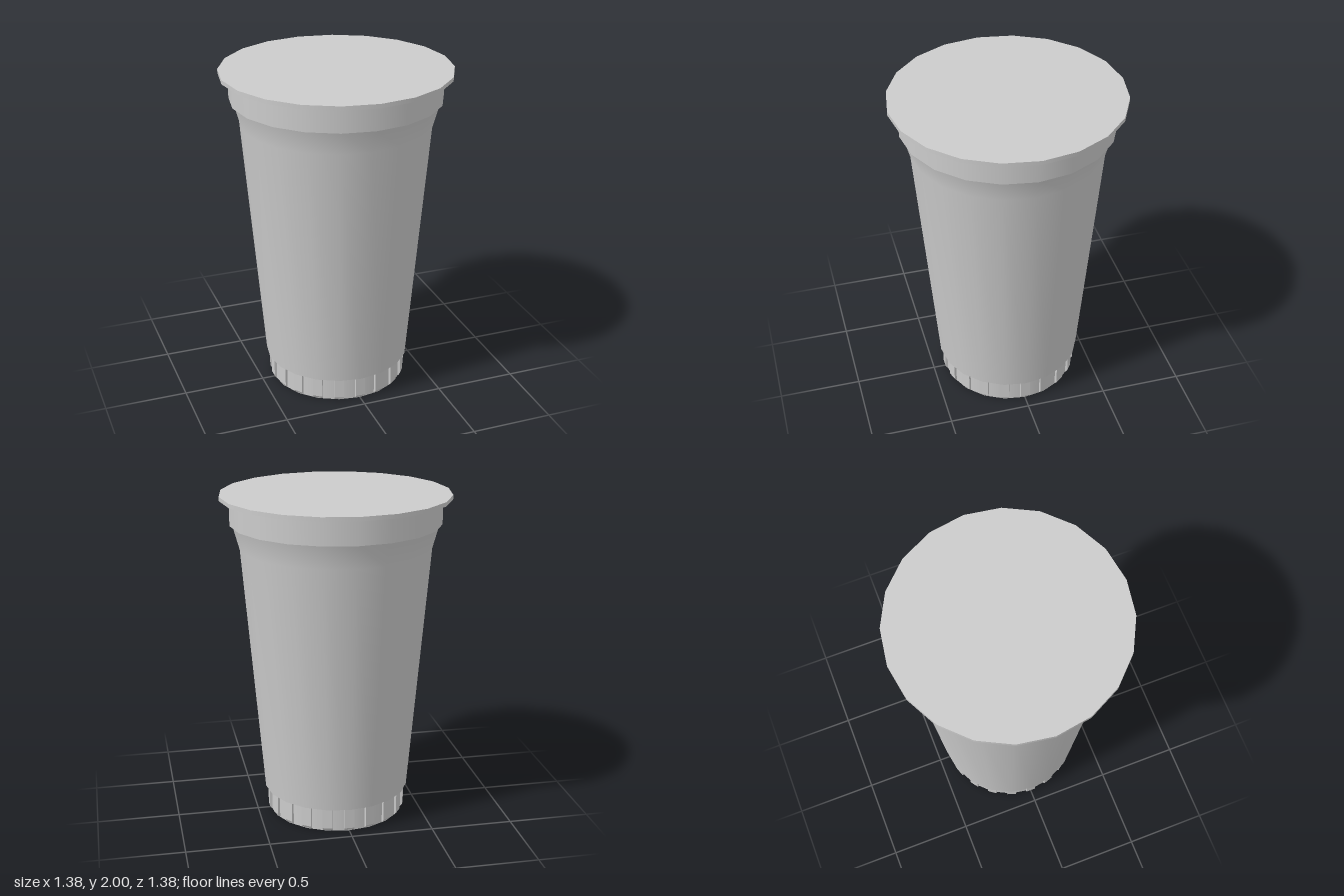
import * as THREE from 'three';

const SIDES = 20;
const material = new THREE.MeshStandardMaterial({ color: 0xcccccc, side: THREE.DoubleSide });

// Revolve a short [radius, height] profile; normals stay smooth within one profile
function ring(name, profile) {
  const points = profile.map(([r, y]) => new THREE.Vector2(r, y));
  const mesh = new THREE.Mesh(new THREE.LatheGeometry(points, SIDES), material);
  mesh.name = name;
  return mesh;
}

export function createModel() {
  const cup = new THREE.Group();
  cup.name = 'cup';

  // Tapered body flaring out below the collar
  cup.add(
    ring('body', [[0.447, 0.15], [0.575, 1.68], [0.615, 1.825]]),
    ring('bodyUnderside', [[0.41, 0.15], [0.447, 0.15]]),
    ring('collarUnderside', [[0.615, 1.825], [0.632, 1.825]]),
    ring('collar', [[0.632, 1.825], [0.632, 1.975]]),
  );

  // Flat lid with a thin overhanging lip
  cup.add(
    ring('lipUnderside', [[0.632, 1.978], [0.69, 1.978]]),
    ring('lipEdge', [[0.69, 1.975], [0.69, 2]]),
    ring('lid', [[0.69, 2], [0, 2]]),
  );

  // Foot ring with a recessed floor
  cup.add(
    ring('footWall', [[0.418, 0], [0.418, 0.15]]),
    ring('footRing', [[0.348, 0], [0.418, 0]]),
    ring('recessWall', [[0.348, 0.035], [0.348, 0]]),
    ring('recessFloor', [[0, 0.035], [0.348, 0.035]]),
  );

  // Ribs around the foot, chamfered at their lower ends
  const side = new THREE.Shape();
  side.moveTo(0.4, 0.004);
  side.lineTo(0.418, 0.004);
  side.lineTo(0.428, 0.02);
  side.lineTo(0.428, 0.15);
  side.lineTo(0.4, 0.15);
  side.closePath();
  const ribGeometry = new THREE.ExtrudeGeometry(side, { depth: 0.06, bevelEnabled: false });
  ribGeometry.translate(0, 0, -0.03);
  const ribs = new THREE.Group();
  ribs.name = 'footRibs';
  for (let i = 0; i < SIDES; i++) {
    const rib = new THREE.Mesh(ribGeometry, material);
    rib.name = 'footRib';
    rib.rotation.y = (i / SIDES) * Math.PI * 2;
    ribs.add(rib);
  }
  cup.add(ribs);

  return cup;
}
